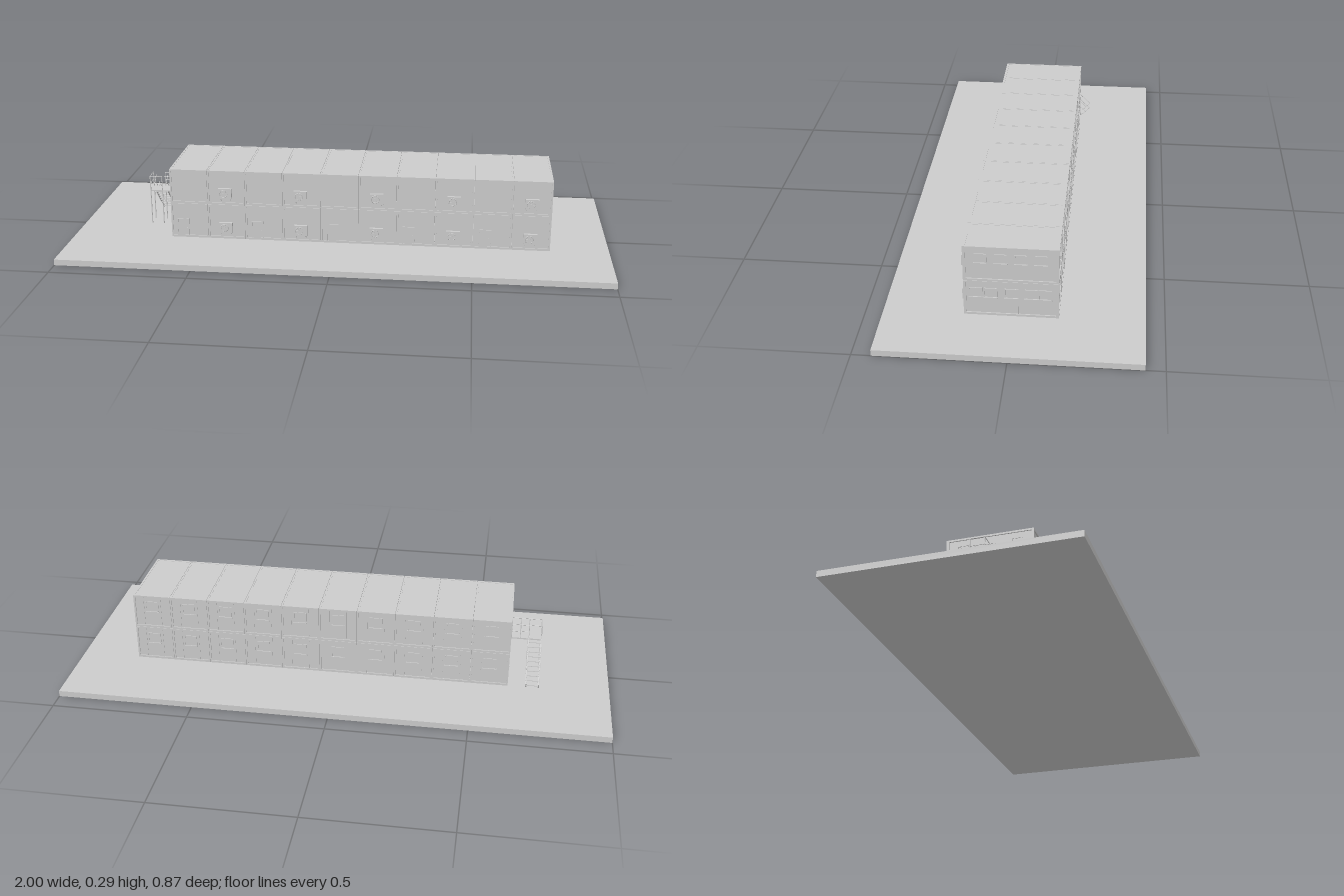
import * as THREE from 'three';

const grey = new THREE.MeshStandardMaterial({ color: 0xcccccc, flatShading: true });
const GROUND = 0.022, X0 = -0.63, MODULE = 0.1415, COUNT = 10;
const X1 = X0 + MODULE * COUNT, ZB = -0.15, ZF = 0.165, ZC = (ZB + ZF) / 2;
const LEVELS = [{ y: GROUND, h: 0.134 }, { y: 0.157, h: 0.132 }];

// Box given by its min and max corners
function box(parent, name, x0, x1, y0, y1, z0, z1) {
  const m = new THREE.Mesh(new THREE.BoxGeometry(x1 - x0, y1 - y0, z1 - z0), grey);
  m.position.set((x0 + x1) / 2, (y0 + y1) / 2, (z0 + z1) / 2);
  m.name = name;
  parent.add(m);
  return m;
}

// Round bar between two points
function bar(parent, name, a, b, r = 0.0013) {
  const p = new THREE.Vector3(...a), q = new THREE.Vector3(...b);
  const m = new THREE.Mesh(new THREE.CylinderGeometry(r, r, p.distanceTo(q), 6), grey);
  m.position.copy(p).lerp(q, 0.5);
  m.quaternion.setFromUnitVectors(new THREE.Vector3(0, 1, 0), q.sub(p).normalize());
  m.name = name;
  parent.add(m);
}

// Wall fittings are built facing +z, with the origin at the bottom centre
function windowUnit(w, h) {
  const g = new THREE.Group();
  g.name = 'window';
  const t = 0.0025;
  box(g, 'glass', -w / 2, w / 2, 0, h, -0.001, 0.001);
  for (const s of [-1, 1]) {
    box(g, 'windowJamb', s * w / 2 - t / 2, s * w / 2 + t / 2, 0, h, 0, 0.003);
  }
  box(g, 'windowHead', -w / 2, w / 2, h - t, h, 0, 0.003);
  box(g, 'windowSill', -w / 2 - 0.003, w / 2 + 0.003, -t, 0.001, 0, 0.005);
  return g;
}

function door(w, h) {
  const g = new THREE.Group();
  g.name = 'door';
  box(g, 'doorLeaf', -w / 2, w / 2, 0, h, 0, 0.002);
  for (const s of [-1, 1]) box(g, 'doorJamb', s * w / 2 - 0.0015, s * w / 2 + 0.0015, 0, h, 0, 0.004);
  box(g, 'doorHead', -w / 2, w / 2, h - 0.003, h, 0, 0.004);
  box(g, 'doorHandle', w / 2 - 0.008, w / 2 - 0.004, h * 0.45, h * 0.48, 0, 0.006);
  return g;
}

function airConditioner() {
  const g = new THREE.Group();
  g.name = 'airConditioner';
  box(g, 'casing', -0.025, 0.025, 0.008, 0.048, 0.004, 0.015);
  const ring = new THREE.Mesh(new THREE.TorusGeometry(0.014, 0.0015, 6, 20), grey);
  ring.position.set(-0.005, 0.028, 0.015);
  ring.name = 'fanRing';
  const hub = new THREE.Mesh(new THREE.CylinderGeometry(0.004, 0.004, 0.003, 10).rotateX(Math.PI / 2), grey);
  hub.position.set(-0.005, 0.028, 0.0155);
  hub.name = 'fanHub';
  g.add(ring, hub);
  for (let i = 0; i < 3; i++) {
    const blade = box(g, 'fanGuard', -0.019, 0.009, 0.0275, 0.0285, 0.015, 0.016);
    blade.rotation.z = i * Math.PI / 3;
  }
  for (const s of [-1, 1]) {
    box(g, 'bracketArm', s * 0.018 - 0.0015, s * 0.018 + 0.0015, 0.004, 0.008, -0.003, 0.015);
    box(g, 'bracketPost', s * 0.018 - 0.0015, s * 0.018 + 0.0015, -0.004, 0.008, -0.003, 0.001);
  }
  return g;
}

function place(parent, part, x, y, z, turn = 0) {
  part.position.set(x, y, z);
  part.rotation.y = turn;
  parent.add(part);
}

// One container: recessed walls inside a frame of posts and beams
function container(x0, { y, h }) {
  const g = new THREE.Group();
  g.name = 'container';
  const x1 = x0 + MODULE - 0.001, top = y + h, r = 0.004, f = 0.009;
  box(g, 'walls', x0 + r, x1 - r, y + 0.002, top - 0.002, ZB + r, ZF - r);
  box(g, 'roofPanel', x0 + 0.001, x1 - 0.001, top - 0.006, top - 0.001, ZB + 0.001, ZF - 0.001);
  for (const [a, b] of [[x0, x0 + f * 0.7], [x1 - f * 0.7, x1]]) {
    box(g, 'cornerPost', a, b, y, top, ZB, ZB + f);
    box(g, 'cornerPost', a, b, y, top, ZF - f, ZF);
    for (const [c, d] of [[y, y + 0.008], [top - 0.007, top]]) box(g, 'endBeam', a, b, c, d, ZB, ZF);
  }
  for (const [a, b] of [[ZB, ZB + f], [ZF - f, ZF]]) {
    box(g, 'floorBeam', x0, x1, y, y + 0.008, a, b);
    box(g, 'roofBeam', x0, x1, top - 0.007, top, a, b);
  }
  // Thin vertical cover strips on the long walls
  for (const t of [0.27, 0.73]) {
    const x = x0 + MODULE * t;
    box(g, 'coverStrip', x - 0.001, x + 0.001, y, top, ZB + r - 0.002, ZB + r);
  }
  return g;
}

// Landing and open stair on the -x end
function stair() {
  const g = new THREE.Group();
  g.name = 'outsideStair';
  const xa = -0.742, xb = -0.696, top = 0.157, rail = 0.056, za = -0.022, zb = 0.03;
  box(g, 'landing', xa, X0, top - 0.005, top, za, zb);
  for (const z of [za, zb]) {
    bar(g, 'landingLeg', [xa, GROUND, z], [xa, top + rail, z], 0.002);
    bar(g, 'landingLeg', [xb, GROUND, z], [xb, top, z], 0.002);
  }
  for (const k of [0.5, 1]) {
    const y = top + rail * k;
    bar(g, 'landingRail', [xa, y, za], [xa, y, zb]);
    bar(g, 'landingRail', [xa, y, zb], [X0, y, zb]);
    bar(g, 'landingRail', [xb, y, za], [X0, y, za]);
  }
  for (const x of [xb, -0.664, X0 - 0.002]) {
    bar(g, 'railPost', [x, top, za], [x, top + rail, za]);
    bar(g, 'railPost', [x, top, zb], [x, top + rail, zb]);
  }
  // Flight: strings, treads and a handrail set square to the slope
  const foot = [GROUND + 0.003, -0.152], head = [top - 0.003, za], n = 10, d = 0.035;
  for (const x of [xa, xb]) {
    bar(g, 'stairString', [x, ...foot], [x, ...head], 0.003);
    for (const k of [0.5, 1]) {
      bar(g, 'handrail', [x, foot[0] + d * k, foot[1] - d * k], [x, head[0] + d * k, head[1] - d * k]);
    }
    for (const t of [0, 0.33, 0.67, 1]) {
      const y = THREE.MathUtils.lerp(foot[0], head[0], t), z = THREE.MathUtils.lerp(foot[1], head[1], t);
      bar(g, 'handrailPost', [x, y, z], [x, y + d, z - d]);
    }
  }
  for (let i = 0; i < n; i++) {
    const t = (i + 0.5) / n;
    const y = THREE.MathUtils.lerp(foot[0], head[0], t), z = THREE.MathUtils.lerp(foot[1], head[1], t);
    box(g, 'tread', xa, xb, y - 0.0012, y + 0.0012, z - 0.007, z + 0.007);
  }
  return g;
}

export function createModel() {
  const model = new THREE.Group();
  model.name = 'containerOffice';
  box(model, 'groundSlab', -1, 1, 0, GROUND, -0.435, 0.435);

  const front = ZF - 0.004, back = ZB + 0.004, right = X1 - 0.005, left = X0 + 0.004;
  LEVELS.forEach((level, floor) => {
    for (let i = 0; i < COUNT; i++) {
      const x = X0 + MODULE * i, c = x + MODULE / 2;
      place(model, container(x, level), 0, 0, 0);
      // Front: doors below and air conditioners on every second container
      if (i % 2) place(model, airConditioner(), c - 0.003, level.y + 0.018, front);
      else if (floor === 0) place(model, door(0.042, 0.065), c - 0.026, level.y + 0.008, front);
      // Back: a window in each container
      place(model, windowUnit(0.045, 0.042), c, level.y + 0.066, back, Math.PI);
    }
  });

  // +x end: row of windows above, paired windows and a door below
  for (const z of [0.107, 0.041, -0.025, -0.09]) {
    place(model, windowUnit(0.038, 0.035), right, 0.226, z, Math.PI / 2);
    if (Math.abs(z - 0.008) > 0.05) place(model, windowUnit(0.038, 0.035), left, 0.226, z, -Math.PI / 2);
  }
  for (const z of [0.124, 0.075, -0.059, -0.104]) {
    place(model, windowUnit(0.041, 0.036), right, 0.092, z, Math.PI / 2);
    place(model, windowUnit(0.041, 0.036), left, 0.092, z, -Math.PI / 2);
  }
  place(model, windowUnit(0.042, 0.036), right, 0.092, 0.007, Math.PI / 2);
  box(model, 'endWallStrip', right, right + 0.003, 0.03, 0.13, -0.017, -0.015);
  // -x end: door onto the landing
  place(model, door(0.042, 0.09), left, 0.164, 0.004, -Math.PI / 2);

  model.add(stair());
  return model;
}
